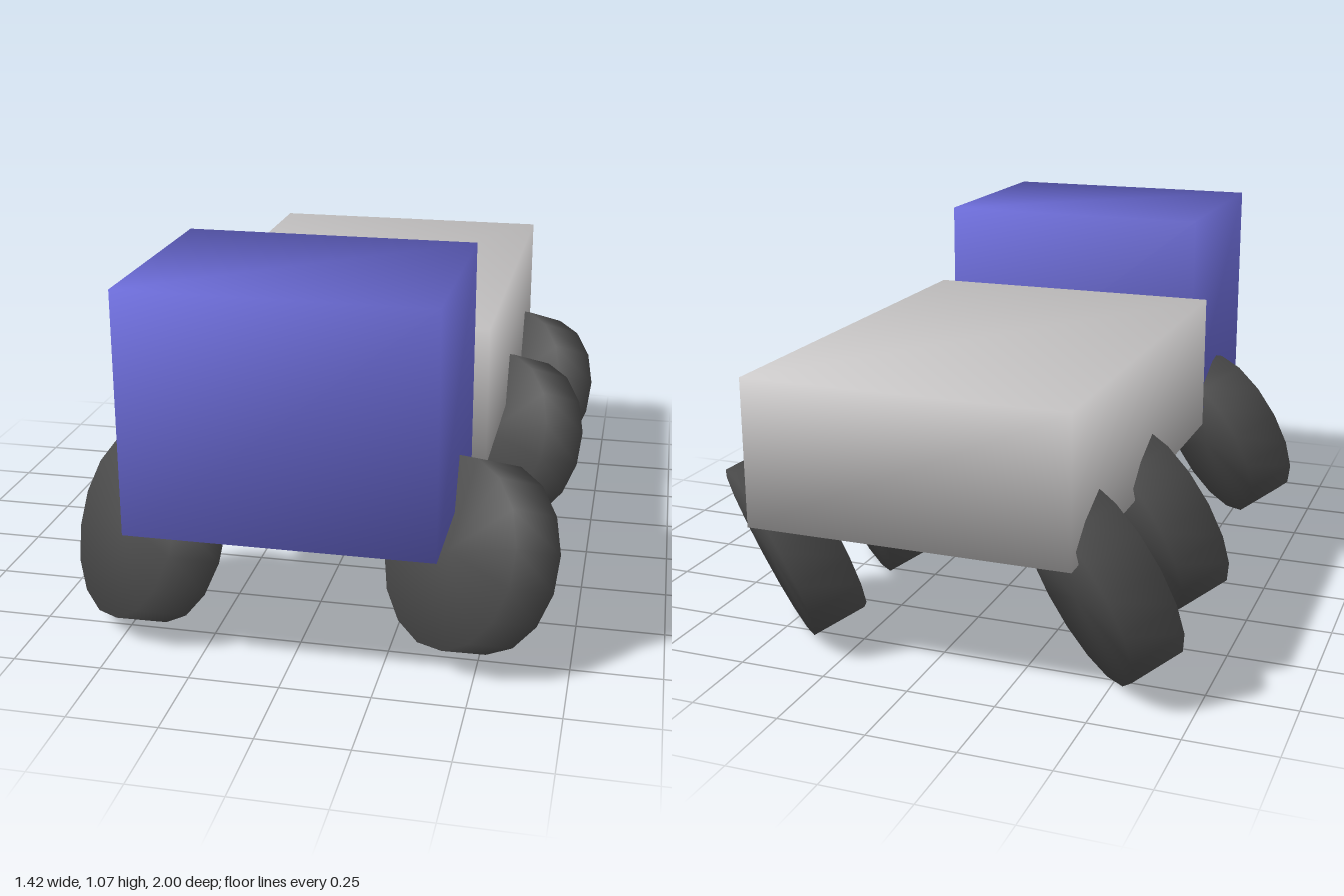
import * as THREE from 'three';
import { mergeVertices } from 'three/addons/utils/BufferGeometryUtils.js';

const material = (name, color) => {
  const m = new THREE.MeshStandardMaterial({ color });
  m.name = name;
  return m;
};

// Weld shared corners so shading runs smoothly over the edges
function smooth(geometry) {
  geometry.deleteAttribute('normal');
  geometry.deleteAttribute('uv');
  geometry.clearGroups();
  const welded = mergeVertices(geometry, 1e-4);
  welded.computeVertexNormals();
  return welded;
}

export function createModel() {
  const truck = new THREE.Group();
  truck.name = 'truck';
  const blue = material('cab blue', 0x6a6ad4);
  const grey = material('cargo grey', 0xcccaca);
  const rubber = material('tyre grey', 0x4c4c4c);

  const add = (name, geometry, mat, x, y, z) => {
    const mesh = new THREE.Mesh(geometry, mat);
    mesh.name = name;
    mesh.position.set(x, y, z);
    truck.add(mesh);
    return mesh;
  };

  // Body: cab in front, lower and wider cargo box behind
  const floor = 0.404;
  add('cab', smooth(new THREE.BoxGeometry(0.833, 0.667, 0.667)), blue, 0, floor + 0.3335, 0.6665);
  add('cargoBox', smooth(new THREE.BoxGeometry(0.917, 0.417, 1.333)), grey, 0, floor + 0.2085, -0.3335);

  // Three pairs of wheels, all tilted the same way
  const wheel = smooth(new THREE.CylinderGeometry(0.267, 0.267, 0.162, 16));
  const tiltAxis = new THREE.Vector3(1, 0, 1).normalize();
  const axles = { front: 0.667, middle: -0.25, rear: -0.75 };
  for (const [axle, z] of Object.entries(axles)) {
    for (const side of [-1, 1]) {
      const name = axle + (side > 0 ? 'Left' : 'Right') + 'Wheel';
      add(name, wheel, rubber, side * 0.458, 0.278, z).quaternion.setFromAxisAngle(tiltAxis, 1.2);
    }
  }
  return truck;
}
